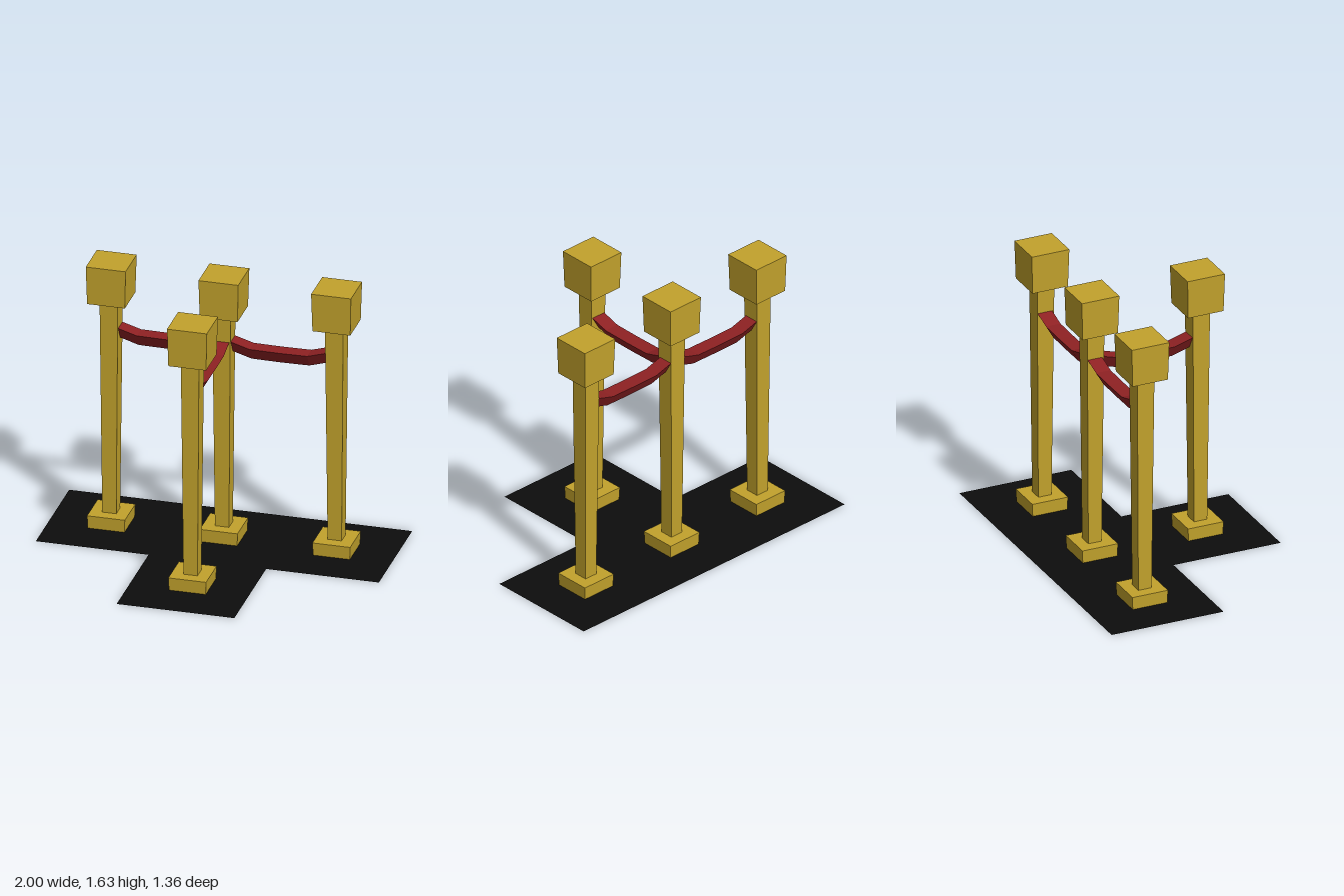
import * as THREE from 'three';

export function createModel() {
  const model = new THREE.Group();
  model.name = 'ropeBarrier';
  const material = (name, color) => Object.assign(new THREE.MeshStandardMaterial({ color }), { name });
  const brass = material('brass', 0xc2a22c);
  const red = material('ropeRed', 0x8f2123);
  const black = material('matBlack', 0x0d0d0d);
  black.side = THREE.DoubleSide;

  const SPAN = 0.657, BACK = -0.33, FRONT = 0.326;

  function add(parent, name, geometry, mat) {
    const mesh = new THREE.Mesh(geometry, mat);
    mesh.name = name;
    parent.add(mesh);
    return mesh;
  }

  // Square block whose half width changes from bottom to top
  function taperedBlock(bottomHalf, topHalf, y0, y1) {
    const g = new THREE.CylinderGeometry(topHalf * Math.SQRT2, bottomHalf * Math.SQRT2, y1 - y0, 4)
      .rotateY(Math.PI / 4)
      .translate(0, (y0 + y1) / 2, 0)
      .toNonIndexed();
    g.computeVertexNormals();
    return g;
  }

  // T-shaped floor mat, a flat sheet
  const outline = [[-1, -0.68], [1, -0.68], [1, 0.015], [0.343, 0.015], [0.343, 0.68],
    [-0.343, 0.68], [-0.343, 0.015], [-1, 0.015]];
  const shape = new THREE.Shape(outline.map(([x, z]) => new THREE.Vector2(x, -z)));
  add(model, 'floorMat', new THREE.ShapeGeometry(shape).rotateX(-Math.PI / 2), black);

  // Four posts: foot, tapered shaft and cube head
  const foot = taperedBlock(0.107, 0.11, 0.003, 0.08);
  const shaft = taperedBlock(0.041, 0.053, 0.08, 1.4);
  const head = taperedBlock(0.11, 0.116, 1.398, 1.63);
  for (const [x, z] of [[-SPAN, BACK], [0, BACK], [SPAN, BACK], [0, FRONT]]) {
    const post = new THREE.Group();
    post.name = 'post';
    post.position.set(x, 0, z);
    add(post, 'foot', foot, brass);
    add(post, 'shaft', shaft, brass);
    add(post, 'head', head, brass);
    model.add(post);
  }

  // Sagging rope along x: triangular section, flat side up
  function ropeGeometry() {
    const path = [[-0.285, 1.237], [-0.168, 1.202], [0, 1.2], [0.168, 1.202], [0.285, 1.237]];
    const section = [[0, 0.045], [0, -0.045], [-0.077, 0]];
    const point = (i, j) => {
      const [x, y] = path[i], [dy, z] = section[j % 3];
      return [x, y + dy, z];
    };
    const positions = [];
    for (let i = 0; i < path.length - 1; i++) {
      for (let j = 0; j < 3; j++) {
        const a = point(i, j), b = point(i + 1, j), c = point(i + 1, j + 1), d = point(i, j + 1);
        positions.push(...a, ...b, ...c, ...a, ...c, ...d);
      }
    }
    const g = new THREE.BufferGeometry();
    g.setAttribute('position', new THREE.Float32BufferAttribute(positions, 3));
    g.computeVertexNormals();
    return g;
  }

  const rope = ropeGeometry();
  for (const side of [-1, 1]) {
    add(model, side < 0 ? 'rightRope' : 'leftRope', rope, red).position.set(side * SPAN / 2, 0, BACK - 0.005);
  }
  const frontRope = add(model, 'frontRope', rope, red);
  frontRope.position.z = (BACK + FRONT) / 2;
  frontRope.rotation.y = Math.PI / 2;

  return model;
}
